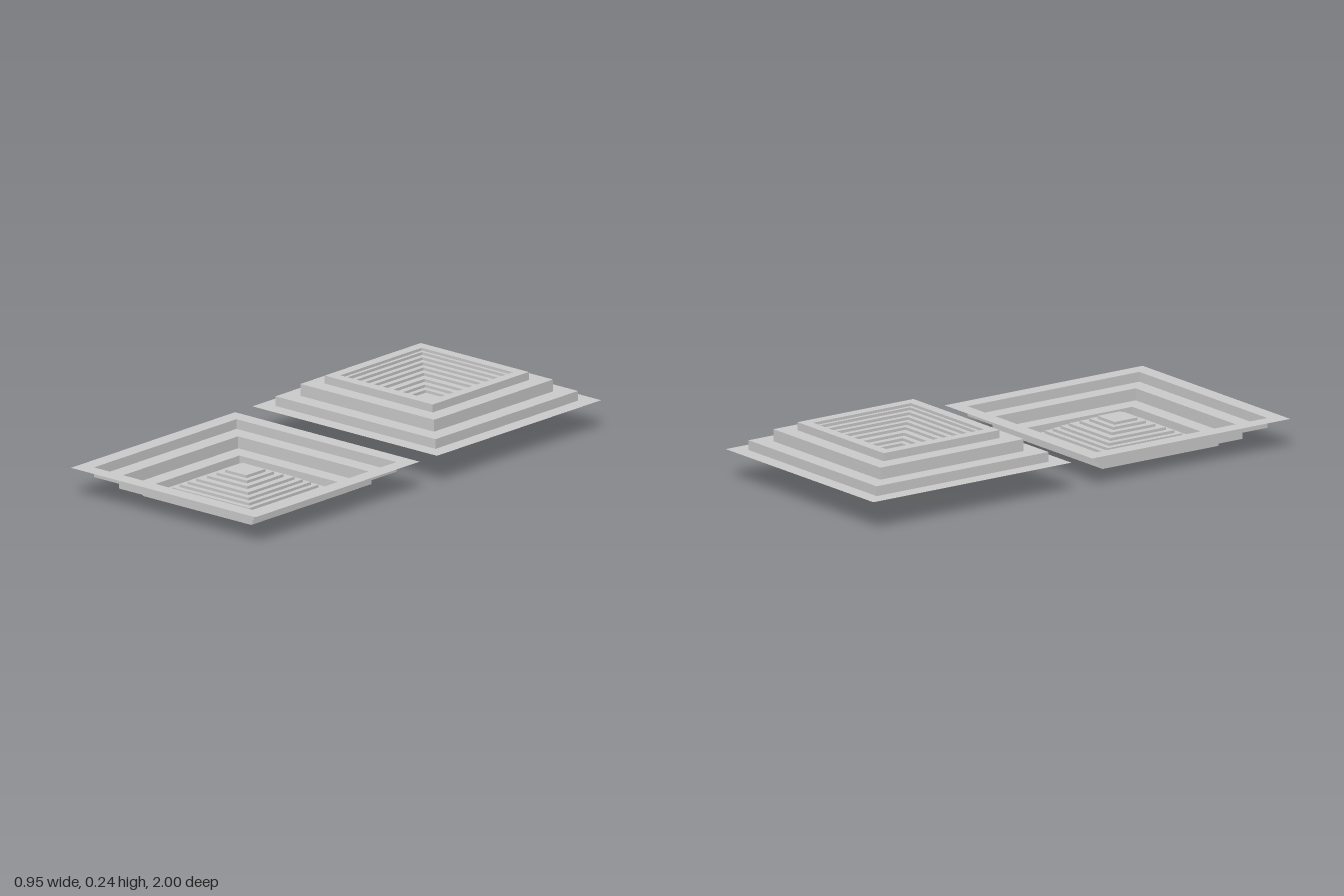
import * as THREE from 'three';

const material = new THREE.MeshStandardMaterial({
  color: 0xcccccc, flatShading: true, side: THREE.DoubleSide,
});

// Stepped square surface from [half width, height] profile points
function steppedSquare(name, profile) {
  const points = profile.map(([half, y]) => new THREE.Vector2(half * Math.SQRT2, y));
  const geometry = new THREE.LatheGeometry(points, 4);
  geometry.rotateY(Math.PI / 4);
  const mesh = new THREE.Mesh(geometry, material);
  mesh.name = name;
  return mesh;
}

// One pan: a flat rim, three broad terraces going down, then a fine stepped centre coming back up
function createPan(name) {
  const pan = new THREE.Group();
  pan.name = name;

  const terraces = [[0.475, 0]];
  let y = 0;
  for (const [half, next] of [[0.412, -0.039], [0.344, -0.087], [0.278, -0.119]]) {
    terraces.push([half, y], [half, next]);
    y = next;
  }
  terraces.push([0.235, y]);
  pan.add(steppedSquare('outerTerraces', terraces));

  const centre = [];
  const rise = 0.0112;
  for (const half of [0.235, 0.221, 0.2, 0.179, 0.157, 0.134, 0.104, 0.078, 0.055]) {
    centre.push([half, y], [half, y + rise]);
    y += rise;
  }
  centre.push([0, y]);
  pan.add(steppedSquare('centreSteps', centre));
  return pan;
}

export function createModel() {
  const model = new THREE.Group();
  model.name = 'steppedPans';

  // Sunken pan in front, the same pan turned over behind
  const front = createPan('sunkenPan');
  front.position.set(0, 0.119, 0.525);
  const back = createPan('raisedPan');
  back.rotation.x = Math.PI;
  back.position.set(0, 0.119, -0.525);

  model.add(front, back);
  return model;
}
